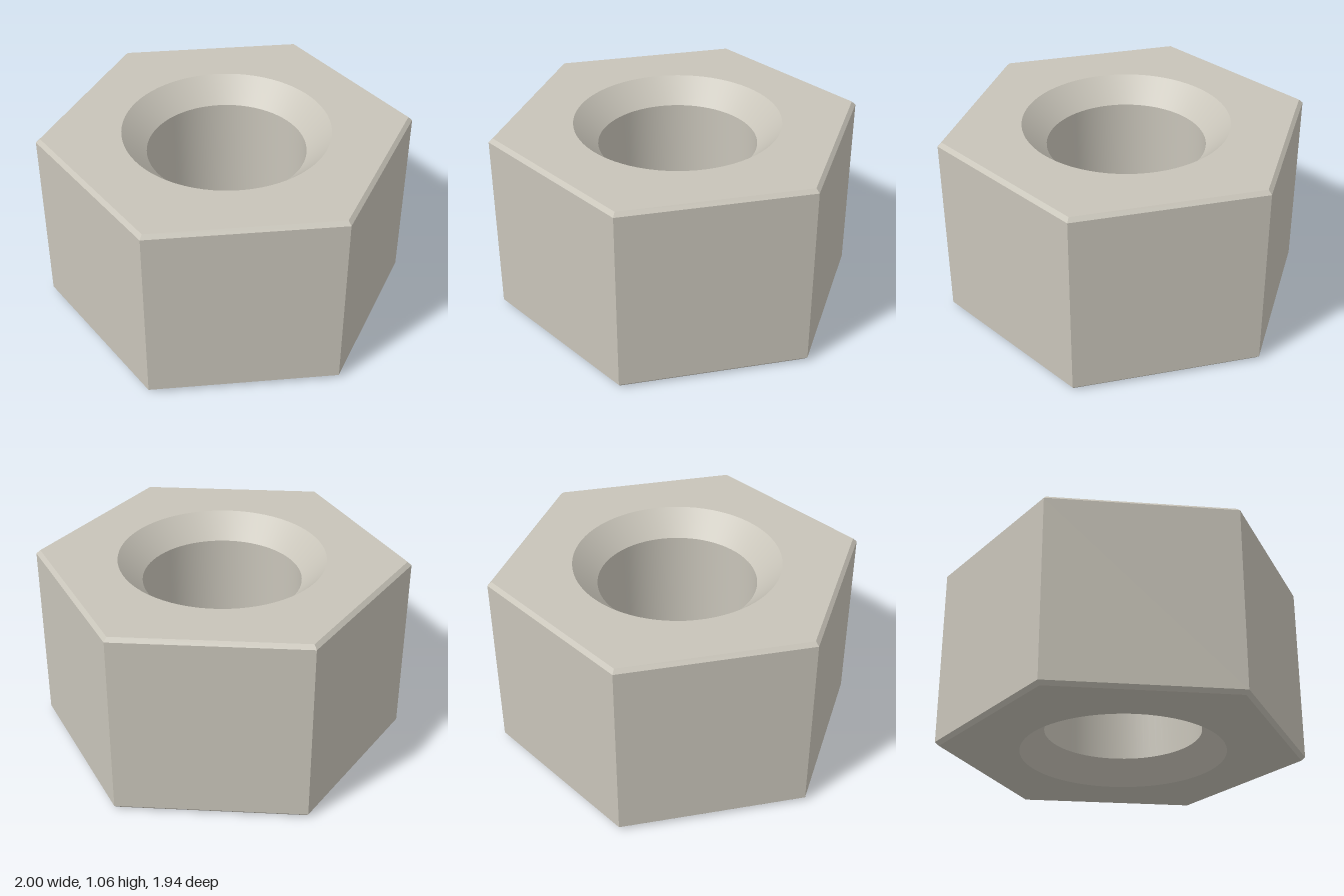
import * as THREE from 'three';
import { toCreasedNormals } from 'three/addons/utils/BufferGeometryUtils.js';

const H = 1.062;            // height
const R = 1.0223;           // corner radius of the hexagon
const TURN = THREE.MathUtils.degToRad(78);
const BEVEL = 0.021;        // vertical size of the edge chamfer
const R_FACE = R - 0.023;   // corner radius of the end faces
const BORE = 0.436, SINK = 0.567, SINK_DEPTH = 0.13;
const ROUND = 72;

// Points on a circle, placed the same way as lathe vertices
function ring(radius, count, start, zSign) {
  return Array.from({ length: count }, (_, i) => {
    const a = start + (i / count) * Math.PI * 2;
    return new THREE.Vector2(radius * Math.sin(a), zSign * radius * Math.cos(a));
  });
}

function lathe(points, segments, start = 0) {
  const profile = points.map(([r, y]) => new THREE.Vector2(r, y));
  return toCreasedNormals(new THREE.LatheGeometry(profile, segments, start), 0.4);
}

// Flat hexagonal end face with a round opening
function endFace(top) {
  const zSign = top ? -1 : 1;
  const shape = new THREE.Shape(ring(R_FACE, 6, TURN, zSign));
  shape.holes.push(new THREE.Path(ring(SINK, ROUND, 0, zSign)));
  const geo = new THREE.ShapeGeometry(shape);
  geo.rotateX(top ? -Math.PI / 2 : Math.PI / 2);
  geo.translate(0, top ? H : 0, 0);
  return geo;
}

export function createModel() {
  const group = new THREE.Group();
  group.name = 'hexNut';
  const steel = new THREE.MeshStandardMaterial({ color: 0xc8c4b9 });
  steel.name = 'warmGreySteel';

  const add = (name, geo) => {
    const mesh = new THREE.Mesh(geo, steel);
    mesh.name = name;
    group.add(mesh);
  };

  // Six flats with chamfered upper and lower edges
  add('hexSides', lathe([[R_FACE, 0], [R, BEVEL], [R, H - BEVEL], [R_FACE, H]], 6, TURN));
  add('topFace', endFace(true));
  add('bottomFace', endFace(false));
  // Through hole, countersunk at both ends
  add('bore', lathe([[SINK, H], [BORE, H - SINK_DEPTH], [BORE, SINK_DEPTH], [SINK, 0]], ROUND));
  return group;
}
